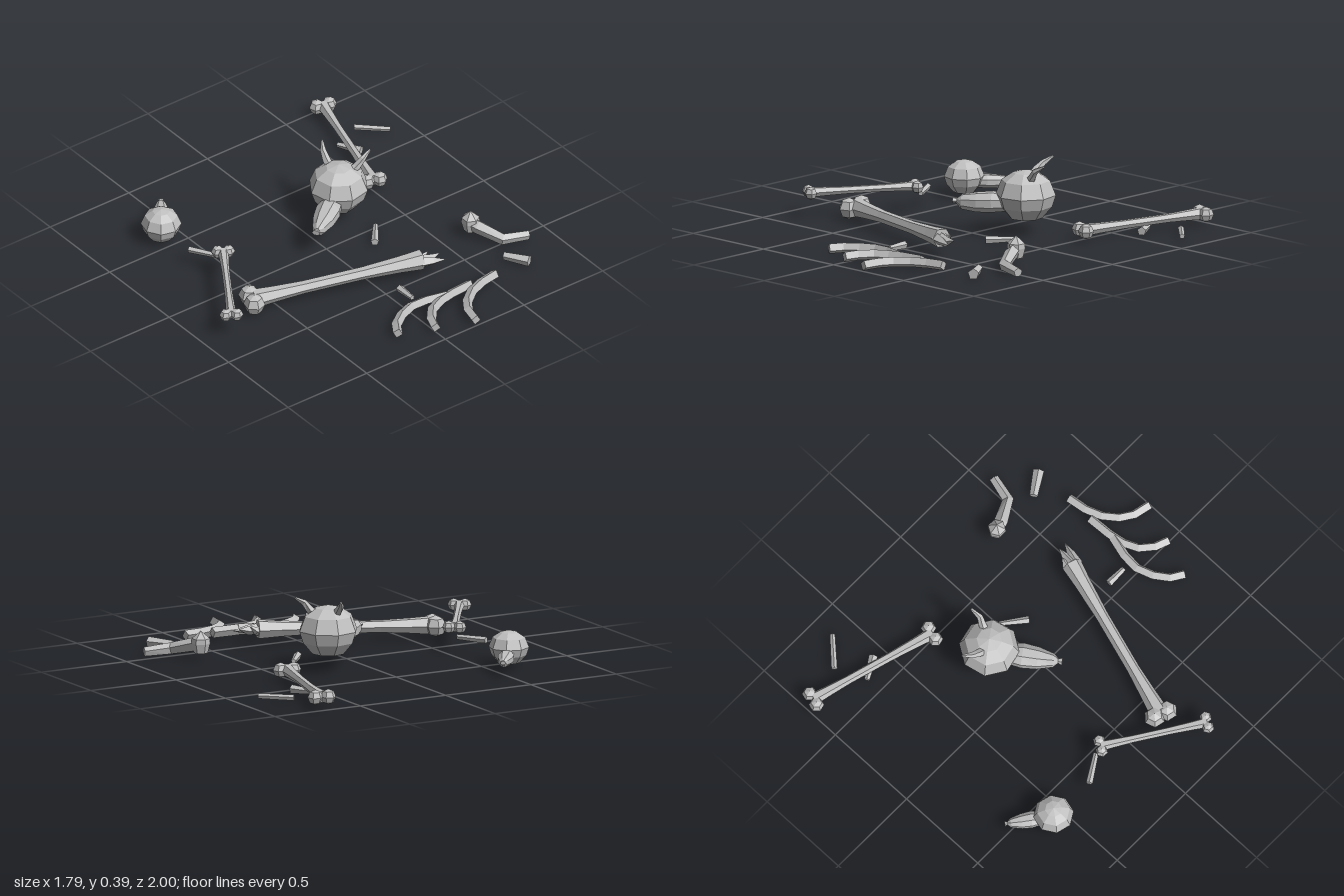
import * as THREE from 'three';

const bone = new THREE.MeshStandardMaterial({ name: 'bone grey', color: 0xc0c0c0, flatShading: true });

function addMesh(parent, name, geometry) {
  const m = new THREE.Mesh(geometry, bone);
  m.name = name;
  parent.add(m);
  return m;
}

// Closed loft along stations [x, y, z, halfWidth, halfHeight]; turn rotates the section
function loft(stations, sides = 6, turn = 0) {
  const pts = stations.map(s => new THREE.Vector3(s[0], s[1], s[2]));
  const up = new THREE.Vector3(0, 1, 0);
  const last = pts.length - 1;
  const rings = stations.map((s, i) => {
    const t = pts[Math.min(i + 1, last)].clone().sub(pts[Math.max(i - 1, 0)]).normalize();
    const side = up.clone().cross(t).normalize();
    const top = t.clone().cross(side);
    return Array.from({ length: sides }, (_, j) => {
      const a = turn + j / sides * Math.PI * 2;
      return pts[i].clone().addScaledVector(side, Math.cos(a) * s[3])
        .addScaledVector(top, Math.sin(a) * (s[4] ?? s[3]));
    });
  });
  const v = [];
  const tri = (...c) => c.forEach(p => v.push(p.x, p.y, p.z));
  for (let j = 0; j < sides; j++) {
    const k = (j + 1) % sides;
    for (let i = 0; i < last; i++) {
      tri(rings[i][j], rings[i][k], rings[i + 1][k]);
      tri(rings[i][j], rings[i + 1][k], rings[i + 1][j]);
    }
    tri(pts[0], rings[0][k], rings[0][j]);
    tri(pts[last], rings[last][j], rings[last][k]);
  }
  const g = new THREE.BufferGeometry();
  g.setAttribute('position', new THREE.Float32BufferAttribute(v, 3));
  g.computeVertexNormals();
  return g;
}

// Faceted joint knob
function knob(parent, x, y, z, r, turn) {
  const m = addMesh(parent, 'jointKnob', new THREE.SphereGeometry(r, 6, 4));
  m.position.set(x, y, z);
  m.rotation.y = turn;
}

// Shaft narrow in the middle and flared at both ends
function shaft(a, b, mid, endA, endB) {
  const widths = [[0, endA], [0.12, (endA + mid) / 2], [0.3, mid], [0.65, mid], [0.87, (endB + mid) / 2], [1, endB]];
  return loft(widths.map(([t, r]) => [...a.map((c, i) => c + (b[i] - c) * t), r]));
}

// Whole long bone with two knobs at each end
function longBone(name, a, b, mid, r) {
  const g = new THREE.Group();
  g.name = name;
  addMesh(g, 'shaft', shaft(a, b, mid, r * 0.85, r * 0.85));
  const turn = Math.atan2(b[0] - a[0], b[2] - a[2]);
  const sx = Math.cos(turn) * r * 0.85, sz = -Math.sin(turn) * r * 0.85;
  for (const end of [a, b]) for (const s of [-1, 1])
    knob(g, end[0] + sx * s, end[1], end[2] + sz * s, r, turn);
  return g;
}

// Skull: eight-sided cranium with a snout along local +z
function skull(name, x, y, z, dx, dz, scale) {
  const g = new THREE.Group();
  g.name = name;
  const profile = [[0, -0.13], [0.085, -0.12], [0.135, -0.06], [0.155, 0], [0.125, 0.075], [0.065, 0.115], [0, 0.13]];
  addMesh(g, 'cranium', new THREE.LatheGeometry(profile.map(p => new THREE.Vector2(...p)), 8));
  addMesh(g, 'snout', loft([
    [0, -0.045, 0.08, 0.05, 0.045], [0, -0.045, 0.17, 0.066, 0.055],
    [0, -0.05, 0.25, 0.058, 0.052], [0, -0.05, 0.33, 0.035, 0.04], [0, -0.045, 0.355, 0.012, 0.015],
  ], 8, Math.PI / 8));
  addMesh(g, 'noseTip', loft([[0, -0.045, 0.345, 0.01], [0, -0.045, 0.375, 0.022, 0.016]], 6));
  g.position.set(x, y, z);
  g.rotation.y = Math.atan2(dx, dz);
  g.scale.setScalar(scale);
  return g;
}

export function createModel() {
  const model = new THREE.Group();
  model.name = 'scatteredBones';

  // Skulls
  model.add(skull('hornedSkull', 0.21, 0.21, -0.175, -0.30, 0.21, 1));
  model.add(skull('smallSkull', -0.62, 0.105, -0.57, 0.15, -0.2, 0.67));

  // Curved horns
  addMesh(model, 'rightHorn', loft([
    [0.198, 0.29, -0.225, 0.024], [0.2, 0.325, -0.265, 0.021], [0.21, 0.355, -0.305, 0.016], [0.235, 0.385, -0.348, 0.006],
  ], 5));
  addMesh(model, 'leftHorn', loft([
    [0.255, 0.285, -0.15, 0.024], [0.295, 0.315, -0.135, 0.021], [0.325, 0.355, -0.125, 0.016], [0.378, 0.385, -0.133, 0.006],
  ], 5));

  // Complete long bones
  model.add(longBone('leftLongBone', [0.70, 0.063, -0.955], [0.512, 0.055, -0.28], 0.023, 0.04));
  model.add(longBone('rightLongBone', [-0.545, 0.135, -0.148], [-0.845, 0.13, 0.318], 0.02, 0.033));

  // Large broken bone with splintered end
  const broken = new THREE.Group();
  broken.name = 'brokenBone';
  addMesh(broken, 'shaft', shaft([-0.62, 0.07, 0.205], [0.25, 0.095, 0.47], 0.033, 0.05, 0.052));
  knob(broken, -0.62, 0.072, 0.17, 0.056, 0.3);
  knob(broken, -0.64, 0.066, 0.24, 0.056, 0.3);
  for (const [x0, z0, x1, y1, z1] of [
    [0.23, 0.49, 0.355, 0.085, 0.53], [0.25, 0.475, 0.35, 0.1, 0.485], [0.24, 0.445, 0.3, 0.115, 0.455],
  ]) addMesh(broken, 'splinteredTip', loft([
    [x0, 0.095, z0, 0.03], [(x0 + x1) / 2, 0.09, (z0 + z1) / 2, 0.022], [x1, y1, z1, 0.002],
  ], 4));
  model.add(broken);

  // Three curved ribs
  const ribs = [
    [[-0.185, 0.845], [-0.145, 0.78], [-0.075, 0.73], [0.01, 0.7], [0.1, 0.705], [0.21, 0.735]],
    [[0, 0.92], [0.025, 0.85], [0.08, 0.785], [0.155, 0.75], [0.24, 0.735], [0.365, 0.728]],
    [[0.203, 0.99], [0.222, 0.9], [0.265, 0.835], [0.335, 0.78], [0.42, 0.748], [0.52, 0.733]],
  ];
  for (const path of ribs)
    addMesh(model, 'rib', loft(path.map(([x, z], i) => [x, 0.03 + i * 0.002, z, 0.026, 0.028]), 4, 0.25));

  // Hooked bone with a raised joint
  const hook = new THREE.Group();
  hook.name = 'hookedBone';
  addMesh(hook, 'arm', loft([
    [0.645, 0.085, 0.325, 0.03], [0.67, 0.075, 0.39, 0.037], [0.735, 0.04, 0.51, 0.031], [0.87, 0.03, 0.548, 0.025],
  ], 5, Math.PI / 2));
  const joint = addMesh(hook, 'joint', new THREE.LatheGeometry(
    [[0, 0], [0.035, 0], [0.048, 0.05], [0.046, 0.075], [0, 0.115]].map(p => new THREE.Vector2(...p)), 6));
  joint.position.set(0.655, 0.04, 0.345);
  model.add(hook);

  // Loose splinters: [x0, z0, r0, x1, z1, r1, y]
  for (const [x0, z0, r0, x1, z1, r1, y] of [
    [0.745, -0.752, 0.016, 0.88, -0.625, 0.014, 0.025],
    [0.585, -0.68, 0.014, 0.65, -0.565, 0.024, 0.024],
    [-0.632, -0.32, 0.018, -0.545, -0.18, 0.014, 0.09],
    [0.31, 0.003, 0.013, 0.215, 0.123, 0.021, 0.022],
    [0.055, 0.54, 0.021, 0.055, 0.65, 0.014, 0.04],
    [0.66, 0.62, 0.022, 0.735, 0.735, 0.03, 0.03],
  ]) addMesh(model, 'splinter', loft([[x0, y, z0, r0], [x1, y, z1, r1]], 5, Math.PI / 2));

  return model;
}
